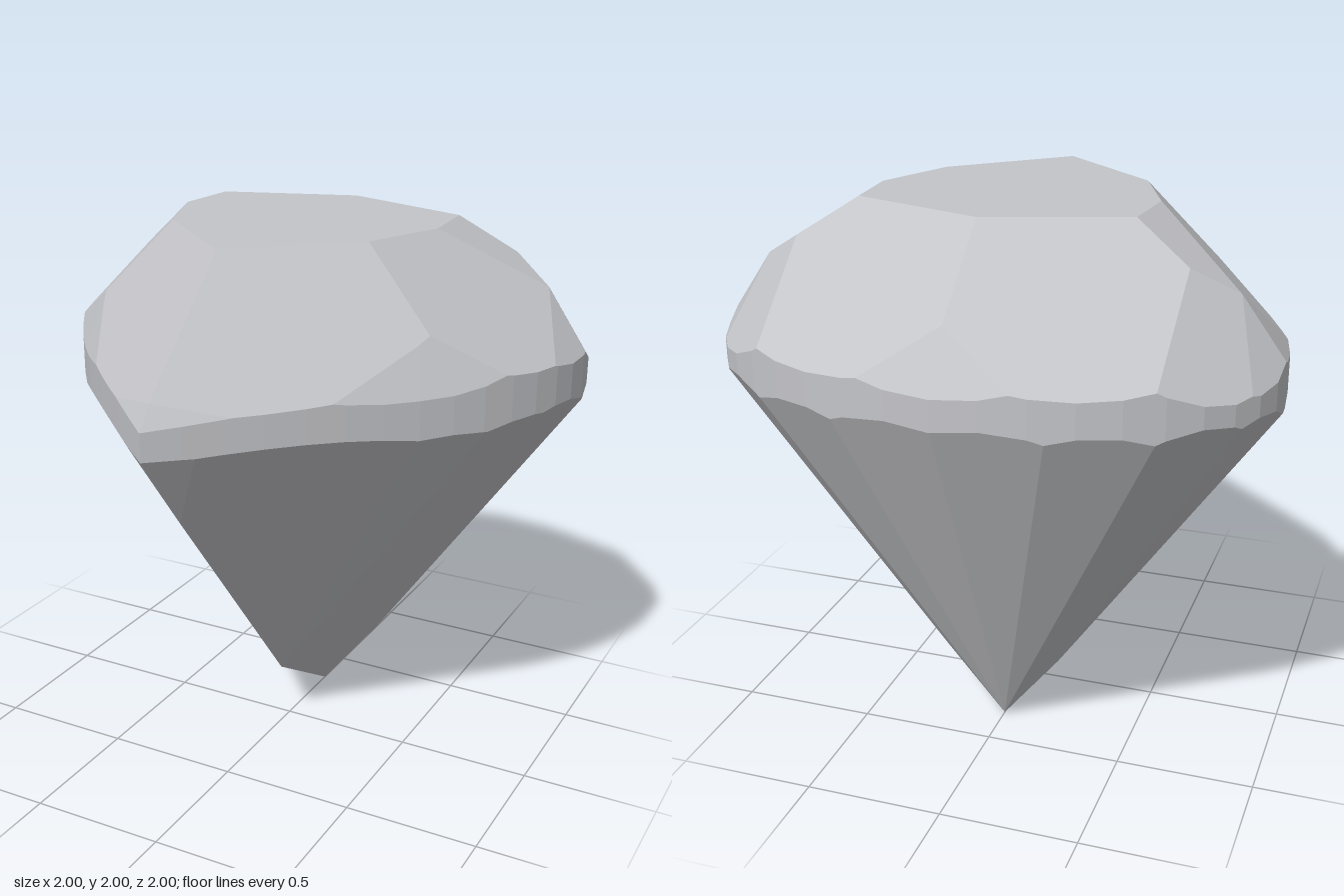
import * as THREE from 'three';

const v = (x, y, z) => new THREE.Vector3(x, y, z);
const INSIDE = v(0, 1.3, -0.2);

// Cutting plane through three points, facing away from the inside of the stone
function cut(a, b, c) {
  const plane = new THREE.Plane().setFromCoplanarPoints(v(...a), v(...b), v(...c));
  return plane.distanceToPoint(INSIDE) > 0 ? plane.negate() : plane;
}

// The same cut on both sides of the stone
const flip = ([x, y, z]) => [-x, y, z];
const pair = (t) => [cut(...t), cut(...t.map(flip))];

// Part of a polygon that lies behind a plane
function clip(poly, plane) {
  const out = [];
  poly.forEach((p, i) => {
    const q = poly[(i + 1) % poly.length];
    const dp = plane.distanceToPoint(p), dq = plane.distanceToPoint(q);
    if (dp <= 1e-6) out.push(p);
    if ((dp < -1e-6 && dq > 1e-6) || (dp > 1e-6 && dq < -1e-6)) {
      out.push(p.clone().lerp(q, dp / (dp - dq)));
    }
  });
  return out;
}

// Facet left on a plane after all other cuts
function facet(plane, all) {
  const n = plane.normal;
  const u = (Math.abs(n.y) > 0.9 ? v(1, 0, 0) : v(0, 1, 0)).cross(n).normalize();
  const w = n.clone().cross(u);
  const o = plane.projectPoint(INSIDE, v(0, 0, 0));
  let poly = [[-1, -1], [1, -1], [1, 1], [-1, 1]].map(([a, b]) =>
    o.clone().addScaledVector(u, a * 6).addScaledVector(w, b * 6));
  for (const other of all) {
    if (other !== plane && poly.length) poly = clip(poly, other);
  }
  return poly;
}

// Pear outline of one side, from the back round to the front point
function outline() {
  const pts = [];
  for (let i = 0; i < 10; i++) {
    const a = (i / 10) * Math.PI / 2;
    pts.push([Math.sin(a), -0.36 - 0.64 * Math.cos(a)]);
  }
  const side = new THREE.CubicBezierCurve(
    new THREE.Vector2(1, -0.36), new THREE.Vector2(1, 0.1),
    new THREE.Vector2(0.45, 0.6), new THREE.Vector2(0, 1));
  side.getPoints(14).forEach((p) => pts.push([p.x, p.y]));
  return pts;
}

export function createModel() {
  const gem = new THREE.MeshStandardMaterial({ color: 0xc4c5c9 });
  gem.name = 'gemGrey';
  gem.flatShading = true;

  // Crown corners
  const tableFront = [0, 2, 0.51], tableSide = [0.385, 2, 0.165], tableWide = [0.51, 2, -0.14];
  const tableRear = [0.49, 2, -0.39], tableBack = [0, 2, -0.555];
  const shoulder = [0.845, 1.775, -0.39], frontKite = [0.625, 1.7, 0.27];
  const nose = [0, 1.6, 0.94], heel = [0, 1.73, -0.87];

  const crown = [
    [tableFront, nose, frontKite],
    [tableSide, tableWide, shoulder],
    [tableWide, tableRear, shoulder],
    [tableRear, tableBack, heel],
    [[0.68, 1.88, -0.475], shoulder, [0.68, 1.607, -0.785]],
    [shoulder, [1, 1.555, -0.38], [0.905, 1.515, -0.63]],
    [shoulder, [1, 1.555, -0.37], [0.997, 1.535, -0.24]],
    [frontKite, [0.67, 1.53, 0.345], [0.86, 1.545, 0.11]],
    [frontKite, [0.67, 1.53, 0.345], [0.48, 1.56, 0.56]],
    [nose, [0, 1.52, 1], [0.235, 1.53, 0.8]],
  ].flatMap(pair);
  crown.push(cut(heel, [0, 1.53, -1], [0.2, 1.73, -0.87]));

  // Pavilion corners: culet, keel, side bulge, front ridge and girdle stations
  const culet = [0, 0, -0.32], keel = [0, 0.24, 0.07], bulge = [0.22, 0.28, -0.345], ridge = [0, 1.13, 0.78];
  const g = [[0, 1.42, -1], [0.36, 1.41, -0.957], [0.68, 1.4, -0.829], [0.91, 1.41, -0.625],
    [1, 1.385, -0.38], [0.95, 1.415, -0.09], [0.86, 1.41, 0.11], [0.67, 1.4, 0.345]];

  const pavilion = [
    [culet, g[0], g[1]],
    [culet, g[1], g[2]],
    [culet, g[2], g[3]],
    [bulge, g[3], g[4]],
    [bulge, g[4], g[5]],
    [culet, keel, bulge],
    [keel, g[6], g[7]],
    [keel, g[7], ridge],
    [ridge, [0, 1.42, 1], [0.235, 1.43, 0.8]],
  ].flatMap(pair);

  // Upright girdle facets along the outline
  const rim = outline();
  const girdle = rim.slice(1).flatMap(([x, z], i) =>
    pair([[rim[i][0], 1, rim[i][1]], [x, 1, z], [x, 2, z]]));

  const parts = { table: [new THREE.Plane(v(0, 1, 0), -2)], crown, girdle, pavilion };
  const all = Object.values(parts).flat();

  const group = new THREE.Group();
  group.name = 'pearCutGem';
  for (const [name, planes] of Object.entries(parts)) {
    const pos = [], nor = [];
    for (const plane of planes) {
      const poly = facet(plane, all);
      for (let i = 1; i + 1 < poly.length; i++) {
        for (const p of [poly[0], poly[i], poly[i + 1]]) {
          pos.push(p.x, p.y, p.z);
          nor.push(...plane.normal.toArray());
        }
      }
    }
    const geo = new THREE.BufferGeometry();
    geo.setAttribute('position', new THREE.Float32BufferAttribute(pos, 3));
    geo.setAttribute('normal', new THREE.Float32BufferAttribute(nor, 3));
    const mesh = new THREE.Mesh(geo, gem);
    mesh.name = name;
    group.add(mesh);
  }
  return group;
}
